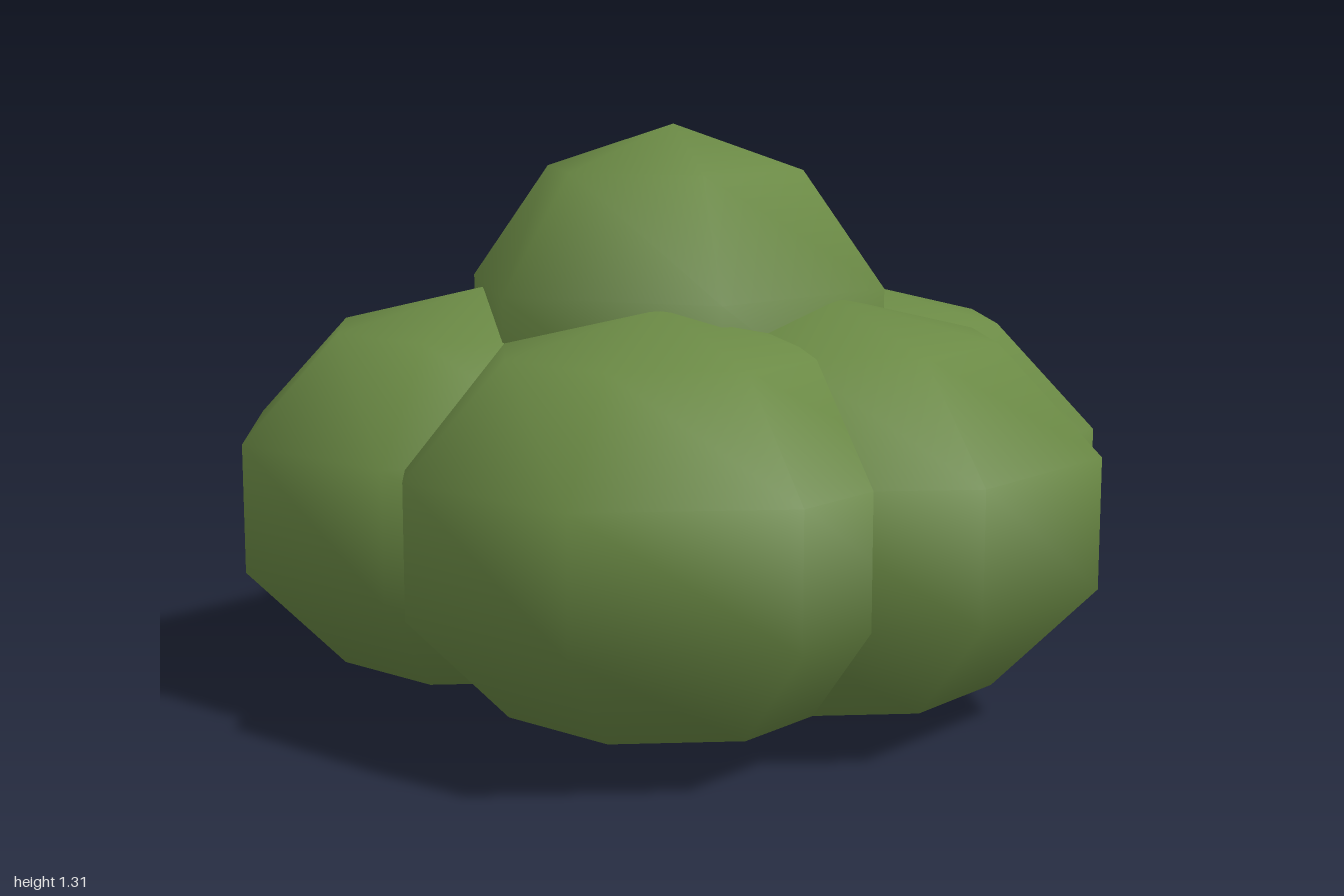
import * as THREE from 'three';

export function createModel() {
  const group = new THREE.Group();
  group.name = 'bush';
  const leafGreen = new THREE.MeshStandardMaterial({ color: 0x6b8a45 });
  leafGreen.name = 'leafGreen';

  // One rounded clump of leaves: a coarse, smooth-shaded ball
  function addClump(name, geometry, x, y, z, squash) {
    const clump = new THREE.Mesh(geometry, leafGreen);
    clump.name = name;
    clump.position.set(x, y, z);
    clump.scale.y = squash;
    group.add(clump);
  }

  // Ring of five flattened clumps resting on the ground
  const lower = new THREE.SphereGeometry(0.625, 8, 5);
  const ring = [
    ['frontClump', 0.11, 0.366],
    ['leftClump', 0.406, 0.07],
    ['backLeftClump', 0.34, -0.281],
    ['backRightClump', -0.265, -0.371],
    ['rightClump', -0.406, 0.09],
  ];
  for (const [name, x, z] of ring) addClump(name, lower, x, 0.47, z, 0.752);

  // Crown clump on top
  addClump('topClump', new THREE.SphereGeometry(0.522, 6, 5), -0.003, 0.788, -0.04, 1);

  return group;
}
